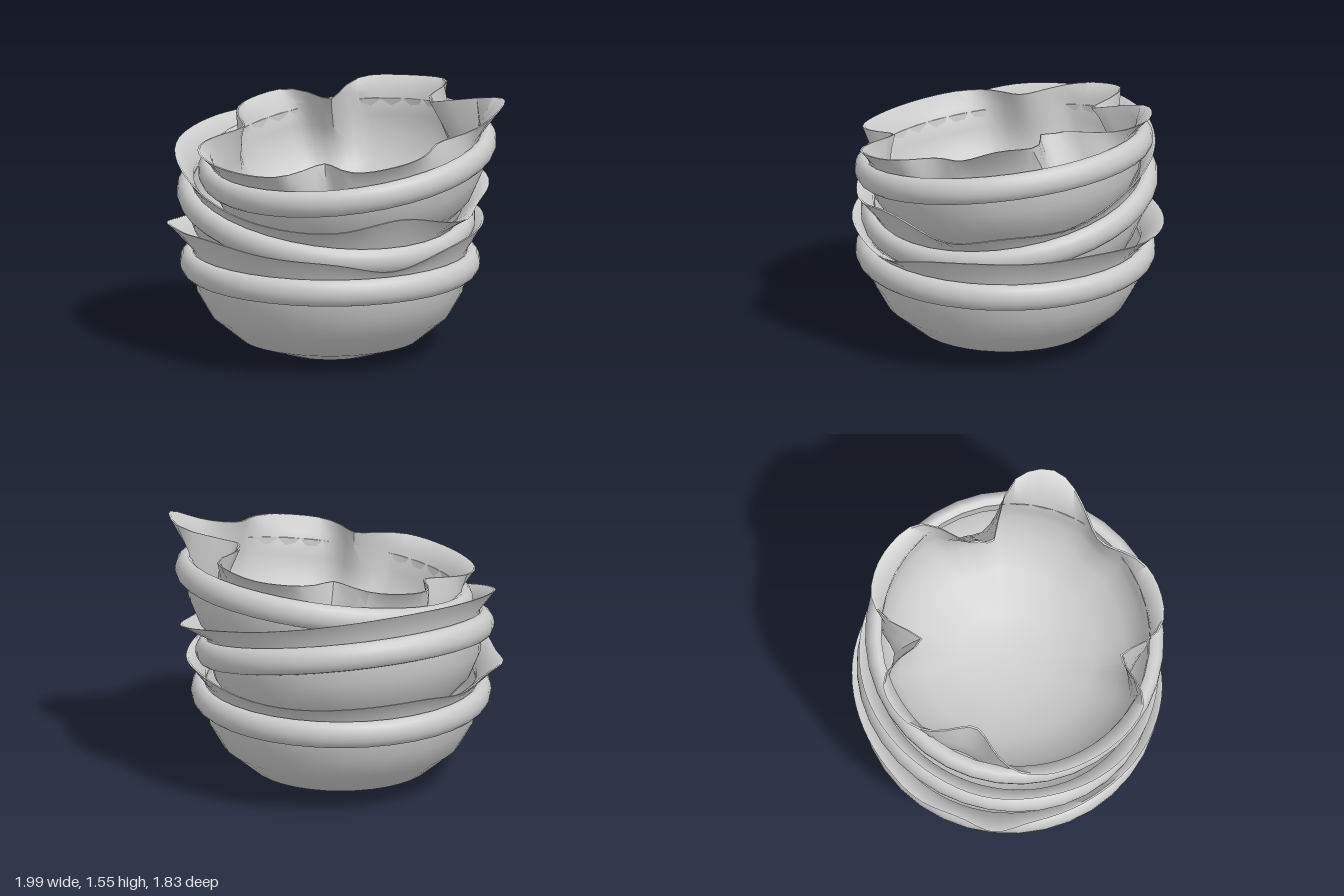
import * as THREE from 'three';
import { toCreasedNormals } from 'three/addons/utils/BufferGeometryUtils.js';

const THICKNESS = 0.012;
const SEGMENTS = 80;

// Wall profile: height from ring plane, radius, how far a rim dent reaches down
const PROFILE = [
  [-0.55, 0.001, 0], [-0.53, 0.29, 0], [-0.45, 0.53, 0.05], [-0.31, 0.7, 0.15],
  [-0.17, 0.78, 0.35], [-0.06, 0.8, 0.6], [0.08, 0.81, 0.85],
];

// A rim is a circle plus soft bumps: angle, width (degrees from +x towards the back), radius change, height change
const BOWLS = [
  {
    name: 'bottomBowl', center: [-0.045, 0.55, 0.02], up: [0, 1, 0], radius: 0.9, height: 0.2,
    bumps: [
      [0, 30, -0.01, 0.03], [40, 20, 0.03, 0.04], [90, 30, 0.03, -0.02], [160, 12, 0.01, -0.03],
      [191, 9, 0.06, 0.01], [232, 26, 0, 0.05], [310, 18, -0.03, -0.08],
    ],
  },
  {
    name: 'middleBowl', center: [-0.075, 0.885, 0], up: [0.16, 1, 0.14], radius: 0.88, height: 0.185,
    bumps: [
      [30, 18, 0.08, 0], [140, 45, 0.04, 0.03], [185, 20, 0.03, 0.01],
      [250, 30, 0, -0.03], [314, 20, 0, 0.1], [345, 12, 0.05, 0],
    ],
  },
  {
    name: 'topBowl', center: [0.06, 1.19, 0.02], up: [-0.09, 1, 0.13], radius: 0.88, height: 0.18,
    bumps: [
      [3, 11, 0.07, 0.05], [14, 14, 0.04, 0.05], [32, 9, -0.31, 0.02], [46, 9, -0.25, 0.02],
      [80, 15, 0.03, -0.02], [113, 10, -0.31, -0.02], [174, 16, -0.24, -0.01],
      [274, 11, -0.25, 0], [335, 14, -0.14, 0],
    ],
  },
];

// Rim radius and height at an angle in degrees
function rimAt(angle, { radius, height, bumps }) {
  let r = radius;
  let h = height;
  for (const [at, width, dr, dh] of bumps) {
    const distance = Math.abs(((angle - at + 540) % 360) - 180);
    const weight = Math.exp(-((distance / width) ** 2));
    r += dr * weight;
    h += dh * weight;
  }
  return [r, h];
}

// Crumpled thin liner: up the outside, over the wavy rim, down the inside
function linerGeometry(bowl) {
  const rows = 2 * (PROFILE.length + 1);
  const positions = [];
  const index = [];

  for (let j = 0; j < SEGMENTS; j++) {
    const angle = (j / SEGMENTS) * 360;
    const a = THREE.MathUtils.degToRad(angle);
    const rim = rimAt(angle, bowl);
    const dent = Math.min(0, rim[0] - 0.8);
    const outside = PROFILE.map(([h, r, reach]) => [Math.max(0.001, r - 0.005 + dent * reach), h + 0.005]);
    outside.push(rim);
    const inside = outside.map(([r, h]) => [
      Math.max(0.001, r - THICKNESS),
      h === rim[1] ? h : h + THICKNESS,
    ]);
    for (const [r, h] of [...outside, ...inside.reverse()]) {
      positions.push(r * Math.cos(a), h, -r * Math.sin(a));
    }

    const next = (j + 1) % SEGMENTS;
    for (let i = 0; i < rows - 1; i++) {
      const p = j * rows + i;
      const q = next * rows + i;
      index.push(p, q, p + 1, q, q + 1, p + 1);
    }
  }
  const geometry = new THREE.BufferGeometry();
  geometry.setAttribute('position', new THREE.Float32BufferAttribute(positions, 3));
  geometry.setIndex(index);
  return toCreasedNormals(geometry, 1.0);
}

// Ring section: rounded outside, flat against the wall
function ringGeometry() {
  const section = [new THREE.Vector2(0.79, -0.08)];
  for (let i = 0; i <= 8; i++) {
    const t = (i / 8 - 0.5) * Math.PI;
    section.push(new THREE.Vector2(0.82 + 0.06 * Math.cos(t), 0.08 * Math.sin(t)));
  }
  section.push(new THREE.Vector2(0.79, 0.06), section[0].clone());
  return toCreasedNormals(new THREE.LatheGeometry(section, 36), 0.9);
}

// Smooth round bowl that carries the ring
function bodyGeometry() {
  const points = PROFILE.slice(0, -1).map(([h, r]) => new THREE.Vector2(r, h));
  return new THREE.LatheGeometry(points, 36);
}

export function createModel() {
  const model = new THREE.Group();
  model.name = 'bowlStack';
  const material = new THREE.MeshStandardMaterial({ color: 0xcccccc });
  const openMaterial = new THREE.MeshStandardMaterial({ color: 0xcccccc, side: THREE.DoubleSide });
  const ringShape = ringGeometry();
  const bodyShape = bodyGeometry();

  for (const spec of BOWLS) {
    const bowl = new THREE.Group();
    bowl.name = spec.name;
    bowl.position.set(...spec.center);
    const up = new THREE.Vector3(...spec.up).normalize();
    bowl.quaternion.setFromUnitVectors(new THREE.Vector3(0, 1, 0), up);

    const body = new THREE.Mesh(bodyShape, openMaterial);
    body.name = 'bowlBody';

    const liner = new THREE.Mesh(linerGeometry(spec), material);
    liner.name = 'crumpledLiner';

    const ring = new THREE.Mesh(ringShape, material);
    ring.name = 'rimRing';

    bowl.add(body, liner, ring);
    model.add(bowl);
  }
  return model;
}
